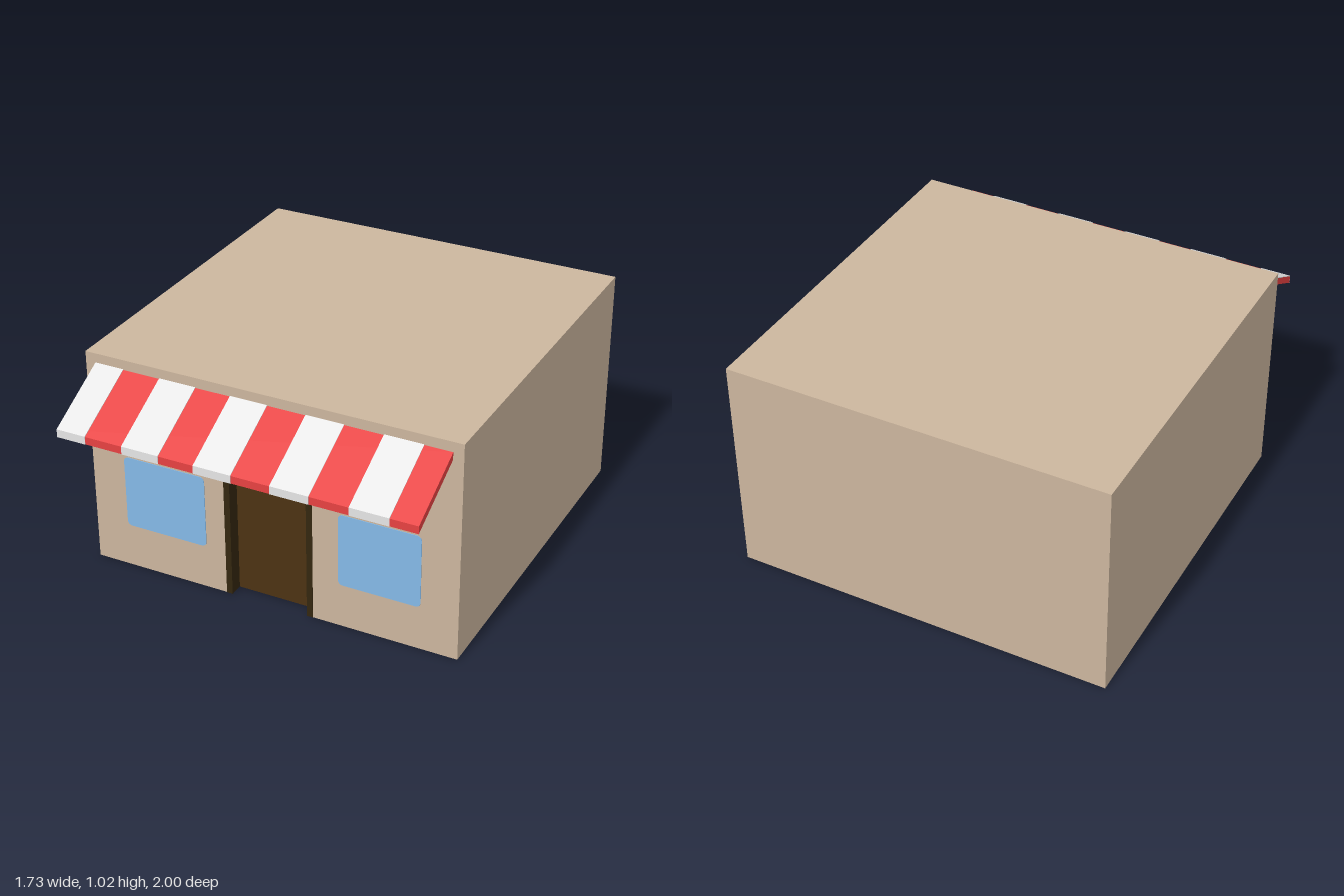
import * as THREE from 'three';

const mat = (name, color) => {
  const m = new THREE.MeshStandardMaterial({ color });
  m.name = name;
  return m;
};

// Closed outline from a list of [x, y] points
const outline = (pts) => new THREE.Shape(pts.map(([x, y]) => new THREE.Vector2(x, y)));

function roundedRect(x0, x1, y0, y1, r) {
  const s = new THREE.Shape();
  s.absarc(x1 - r, y0 + r, r, -Math.PI / 2, 0);
  s.absarc(x1 - r, y1 - r, r, 0, Math.PI / 2);
  s.absarc(x0 + r, y1 - r, r, Math.PI / 2, Math.PI);
  s.absarc(x0 + r, y0 + r, r, Math.PI, Math.PI * 1.5);
  return s;
}

export function createModel() {
  const group = new THREE.Group();
  const wall = mat('wall tan', 0xccb69e);
  const red = mat('awning red', 0xe74242);
  const white = mat('awning white', 0xe6e6e6);
  const glass = mat('window blue', 0x87bceb);
  const doorBrown = mat('door brown', 0x4c3212);
  const frameBrown = mat('frame dark brown', 0x34260f);

  const add = (name, geometry, material) => {
    const mesh = new THREE.Mesh(geometry, material);
    mesh.name = name;
    group.add(mesh);
    return mesh;
  };
  const extrude = (shape, depth) =>
    new THREE.ExtrudeGeometry(shape, { depth, bevelEnabled: false, curveSegments: 4 });

  const W = 0.867, H = 1.02, FRONT = 0.69, RECESS = 0.067;
  const inner = FRONT - RECESS;

  // Building: solid rear block and a front wall notched for the doorway
  add('building', new THREE.BoxGeometry(2 * W, H, inner + 1), wall)
    .position.set(0, H / 2, (inner - 1) / 2);
  add('frontWall', extrude(outline([
    [-W, 0], [-0.215, 0], [-0.215, 0.61], [0.195, 0.61], [0.195, 0], [W, 0], [W, H], [-W, H],
  ]), RECESS), wall).position.z = inner;

  // Door frame lining the recess, with slightly clipped top corners
  add('doorFrame', extrude(outline([
    [-0.218, 0], [-0.19, 0], [-0.19, 0.59], [0.172, 0.59], [0.172, 0], [0.2, 0],
    [0.2, 0.607], [0.192, 0.615], [-0.21, 0.615], [-0.218, 0.607],
  ]), RECESS + 0.002), frameBrown).position.z = inner;

  // Door leaf at the back of the recess
  add('door', new THREE.BoxGeometry(0.364, 0.591, 0.006), doorBrown)
    .position.set(-0.009, 0.2955, inner + 0.003);

  // Windows
  for (const [name, x0, x1] of [['rightWindow', -0.707, -0.312], ['leftWindow', 0.32, 0.697]]) {
    add(name, extrude(roundedRect(x0, x1, 0.207, 0.55, 0.022), 0.004), glass).position.z = FRONT - 0.001;
  }

  // Awning: profile in (z, y) extruded along x
  const alongX = (pts, x0, x1) => {
    const g = extrude(outline(pts.map(([z, y]) => [-z, y])), x1 - x0);
    return g.rotateY(Math.PI / 2).translate(x0, 0, 0);
  };
  const END = 0.82;
  add('awning', alongX([[FRONT, 0.94], [0.998, 0.775], [0.998, 0.81], [FRONT, 0.974]], -END, END), red);

  // White stripes wrap the top and front lip of the awning
  const stripe = [
    [FRONT, 0.973], [0.997, 0.809], [0.997, 0.775], [1, 0.775], [1, 0.812], [FRONT, 0.977],
  ];
  const edges = [-0.82, -0.683, -0.508, -0.335, -0.172, 0, 0.175, 0.348, 0.523, 0.697];
  for (let i = 0; i < edges.length; i += 2) {
    // keep the red end cap visible at the outer side
    add('awningStripe' + (i / 2 + 1), alongX(stripe, edges[i], edges[i + 1]), white);
  }
  return group;
}
